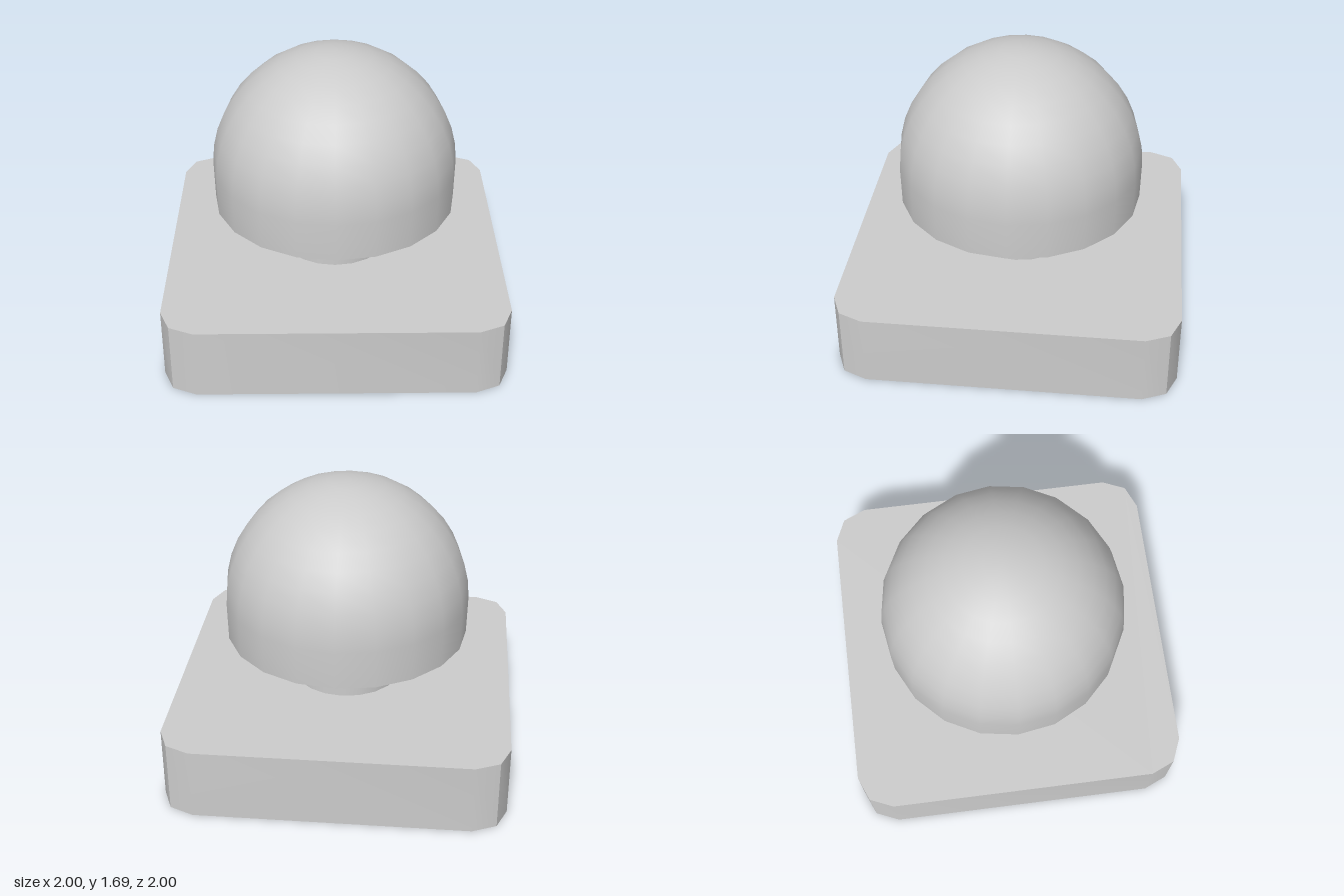
import * as THREE from 'three';
import { toCreasedNormals } from 'three/addons/utils/BufferGeometryUtils.js';

const material = new THREE.MeshStandardMaterial({ color: 0xcccccc });
const CREASE = Math.PI / 6;
const SIDES = 20;

const BASE_TOP = 0.43;
const DOME_BOTTOM = 0.73;
const DOME_CENTRE = 0.96;
const DOME_RADIUS = 0.73;

function addPart(group, name, geometry) {
  const mesh = new THREE.Mesh(toCreasedNormals(geometry, CREASE), material);
  mesh.name = name;
  group.add(mesh);
  return mesh;
}

export function createModel() {
  const group = new THREE.Group();
  group.name = 'domeKnob';

  // Square base with two-step cut corners: one corner, turned four times
  const corner = [[1, 0.8], [0.94, 0.94], [0.8, 1]];
  const outline = [];
  for (let i = 0; i < 4; i++) {
    for (const [x, y] of corner) {
      outline.push(new THREE.Vector2(x, y).rotateAround(new THREE.Vector2(), i * Math.PI / 2));
    }
  }
  const base = new THREE.ExtrudeGeometry(new THREE.Shape(outline), { depth: BASE_TOP, bevelEnabled: false });
  base.rotateX(-Math.PI / 2);
  addPart(group, 'base', base);

  // Round neck between base and dome
  const neckHeight = DOME_BOTTOM - BASE_TOP;
  const neck = new THREE.CylinderGeometry(0.33, 0.33, neckHeight, SIDES);
  neck.translate(0, BASE_TOP + neckHeight / 2, 0);
  addPart(group, 'neck', neck);

  // Dome: flat underside, short near-vertical skirt, then a quarter-circle profile
  const profile = [new THREE.Vector2(0, DOME_BOTTOM), new THREE.Vector2(0.725, DOME_BOTTOM)];
  const steps = 10;
  for (let i = 0; i <= steps; i++) {
    const a = (i / steps) * Math.PI / 2;
    const r = i === steps ? 0 : DOME_RADIUS * Math.cos(a);
    profile.push(new THREE.Vector2(r, DOME_CENTRE + DOME_RADIUS * Math.sin(a)));
  }
  addPart(group, 'dome', new THREE.LatheGeometry(profile, SIDES));

  return group;
}
